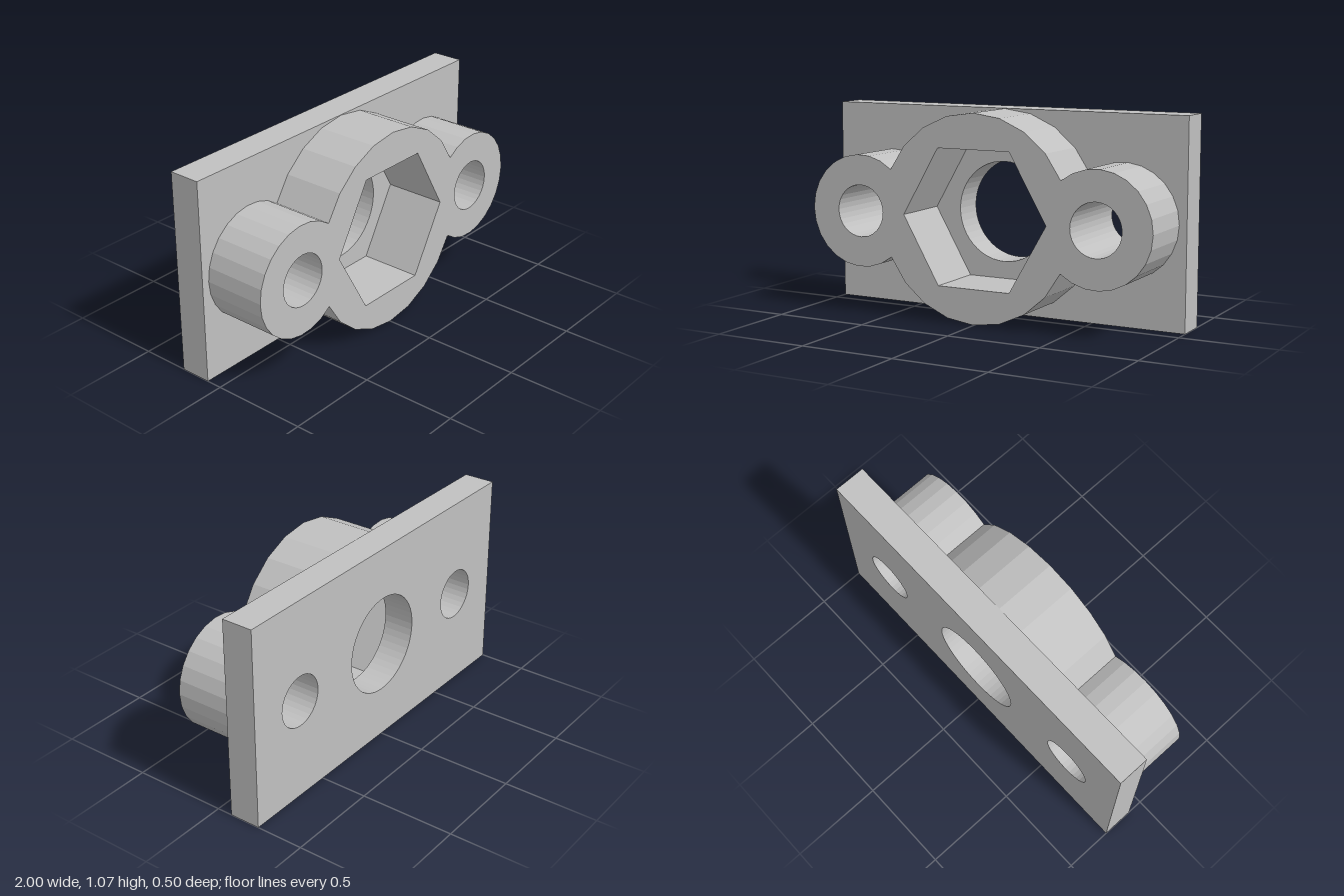
import * as THREE from 'three';

const CY = 0.534, SIDE_X = 0.667;
const BACK = -0.248, MID = -0.082, FRONT = 0.248;
const R = 0.532, r = 0.293; // main and side boss radii

// Points along an arc about (cx, CY)
function arc(cx, radius, from, to, n) {
  return Array.from({ length: n + 1 }, (_, i) => {
    const a = from + (to - from) * i / n;
    return new THREE.Vector2(cx + radius * Math.cos(a), CY + radius * Math.sin(a));
  });
}

const ring = (cx, radius, n) => new THREE.Path(arc(cx, radius, 0, Math.PI * 2, n).slice(0, n));

// Extrude a shape between two depths
function slab(name, shape, z0, z1, material) {
  const geometry = new THREE.ExtrudeGeometry(shape, { depth: z1 - z0, bevelEnabled: false });
  geometry.translate(0, 0, z0);
  const mesh = new THREE.Mesh(geometry, material);
  mesh.name = name;
  return mesh;
}

export function createModel() {
  const group = new THREE.Group();
  group.name = 'mountingFlange';
  const grey = new THREE.MeshStandardMaterial({ color: 0xc0c0c0 });
  grey.name = 'plain grey';

  const boltHoles = () => [-1, 1].map(s => ring(s * SIDE_X, 0.136, 32));

  // Rectangular back plate with a round bore and two bolt holes
  const plate = new THREE.Shape([[-1, 0], [1, 0], [1, 2 * CY], [-1, 2 * CY]].map(p => new THREE.Vector2(...p)));
  plate.holes.push(ring(0, 0.261, 48), ...boltHoles());
  group.add(slab('backPlate', plate, BACK, MID, grey));

  // Three-lobed boss: outline follows the union of the three circles
  const a = (SIDE_X ** 2 + R ** 2 - r ** 2) / (2 * SIDE_X);
  const h = Math.sqrt(R ** 2 - a ** 2);
  const main = Math.atan2(h, a), side = Math.atan2(h, a - SIDE_X);
  const outline = [
    ...arc(SIDE_X, r, -side, side, 18),
    ...arc(0, R, main, Math.PI - main, 8).slice(1, -1),
    ...arc(-SIDE_X, r, Math.PI - side, Math.PI + side, 18),
    ...arc(0, R, Math.PI + main, 2 * Math.PI - main, 8).slice(1, -1),
  ];
  const boss = new THREE.Shape(outline);
  // Hexagonal nut pocket, open down to the plate
  boss.holes.push(ring(0, 0.404, 6), ...boltHoles());
  group.add(slab('boss', boss, MID, FRONT, grey));

  return group;
}
